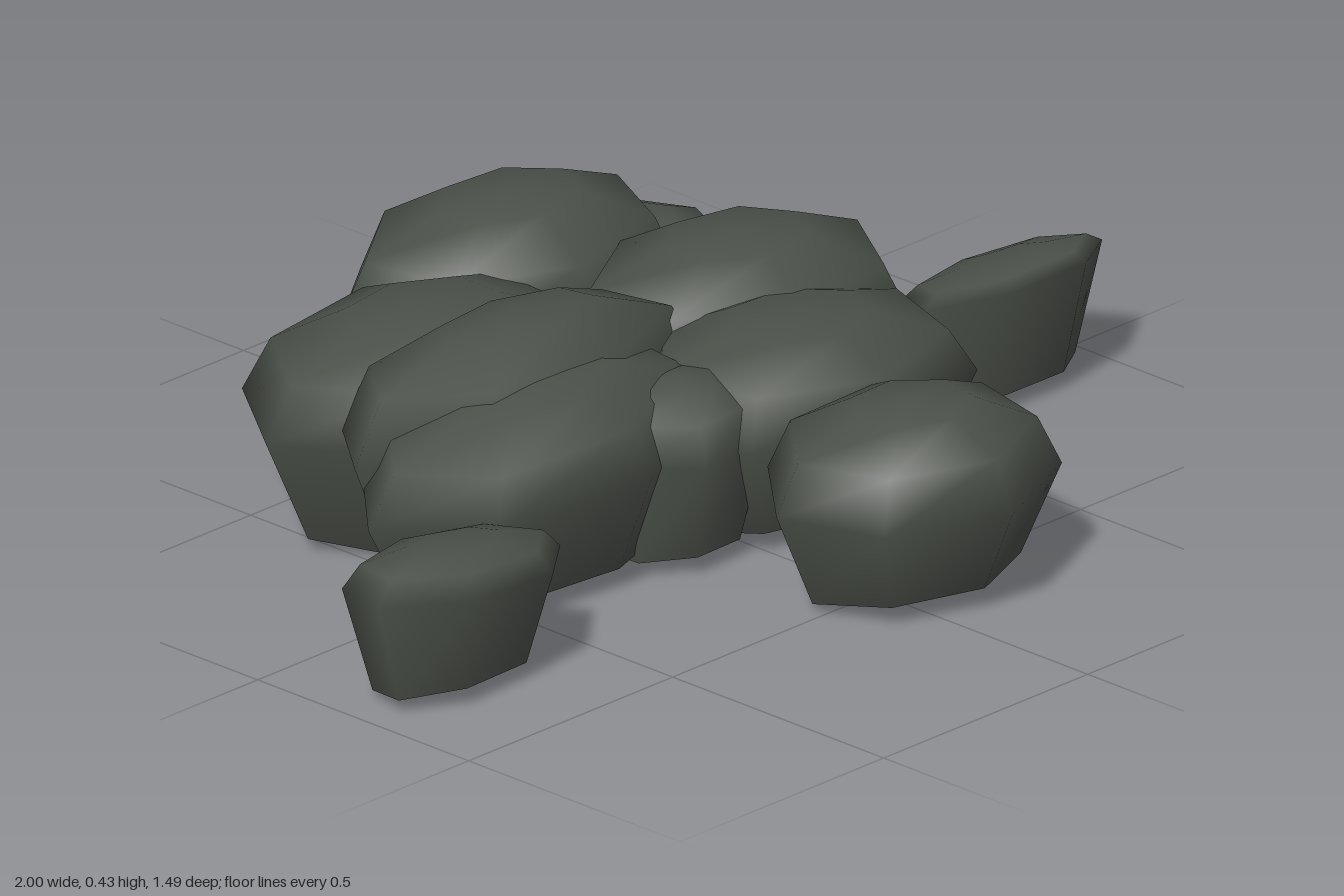
import * as THREE from 'three';

const SIDES = 7;
const stone = new THREE.MeshStandardMaterial({ color: 0x4b5049, side: THREE.DoubleSide });
stone.name = 'darkStone';

// One boulder, open underneath: a seven-sided oval repeated at several heights.
// x, z = middle; rx, rz = half widths; turn = degrees to the first corner;
// top = crown height; waist = height of the widest ring; tiltX, tiltZ = slope of the crown.
function boulder(name, { x, z, rx, rz, turn, top, waist, tiltX = 0, tiltZ = 0 }) {
  const rings = [
    [0.73, 0.025],
    [1, waist],
    [0.84, waist + (top - waist) * 0.6],
    [0.42, waist + (top - waist) * 0.93],
  ];
  const positions = [];
  const index = [];
  rings.forEach(([scale, height], r) => {
    for (let i = 0; i < SIDES; i++) {
      const angle = THREE.MathUtils.degToRad(turn) + (i / SIDES) * Math.PI * 2;
      const dx = rx * scale * Math.cos(angle);
      const dz = rz * scale * Math.sin(angle);
      // the rim lifts away from the pile, the upper rings follow the crown slope
      const lean = r === 0
        ? THREE.MathUtils.clamp(dz * Math.sign(z) * 0.15, -0.02, 0.02)
        : (tiltX * dx + tiltZ * dz) * (height / top);
      positions.push(x + dx, height + lean, z + dz);
    }
  });
  positions.push(x, top, z);

  // walls between rings, then the crown fan
  const crown = rings.length * SIDES;
  for (let r = 0; r < rings.length; r++) {
    for (let i = 0; i < SIDES; i++) {
      const a = r * SIDES + i;
      const b = r * SIDES + (i + 1) % SIDES;
      if (r === rings.length - 1) index.push(a, crown, b);
      else index.push(a, a + SIDES, b, b, a + SIDES, b + SIDES);
    }
  }
  const geometry = new THREE.BufferGeometry();
  geometry.setAttribute('position', new THREE.Float32BufferAttribute(positions, 3));
  geometry.setIndex(index);
  geometry.computeVertexNormals();
  const mesh = new THREE.Mesh(geometry, stone);
  mesh.name = name;
  return mesh;
}

export function createModel() {
  const group = new THREE.Group();
  group.name = 'rockPile';
  group.add(
    // back of the pile
    boulder('backBoulder', { x: 0.14, z: -0.51, rx: 0.35, rz: 0.25, turn: -109, top: 0.41, waist: 0.23 }),
    boulder('backSideStone', { x: 0.37, z: -0.44, rx: 0.19, rz: 0.19, turn: 0, top: 0.31, waist: 0.22 }),
    boulder('backRightBoulder', { x: -0.27, z: -0.32, rx: 0.37, rz: 0.26, turn: -127, top: 0.385, waist: 0.23 }),
    // middle of the pile
    boulder('middleRightBoulder', { x: -0.265, z: -0.1, rx: 0.41, rz: 0.195, turn: -133, top: 0.435, waist: 0.26, tiltX: -0.03, tiltZ: 0.05 }),
    boulder('leftBoulder', { x: 0.3, z: -0.12, rx: 0.35, rz: 0.26, turn: 0, top: 0.405, waist: 0.23, tiltX: -0.03 }),
    // front of the pile
    boulder('frontRightBoulder', { x: -0.36, z: 0.03, rx: 0.4, rz: 0.205, turn: 180, top: 0.375, waist: 0.23, tiltX: 0.06, tiltZ: -0.1 }),
    boulder('gapStone', { x: -0.11, z: 0.13, rx: 0.17, rz: 0.15, turn: 165, top: 0.335, waist: 0.22 }),
    boulder('frontLeftBoulder', { x: 0.19, z: 0.13, rx: 0.36, rz: 0.245, turn: -14, top: 0.36, waist: 0.22, tiltX: -0.05, tiltZ: -0.06 }),
    boulder('frontBoulder', { x: 0.07, z: 0.51, rx: 0.285, rz: 0.235, turn: 88, top: 0.35, waist: 0.2 }),
    // loose stones on either side
    boulder('rightLooseStone', { x: -0.77, z: 0.245, rx: 0.24, rz: 0.135, turn: 163, top: 0.27, waist: 0.205, tiltX: -0.09, tiltZ: 0.06 }),
    boulder('leftLooseStone', { x: 0.785, z: 0.04, rx: 0.22, rz: 0.12, turn: 14, top: 0.25, waist: 0.215, tiltZ: 0.27 }),
  );
  return group;
}
